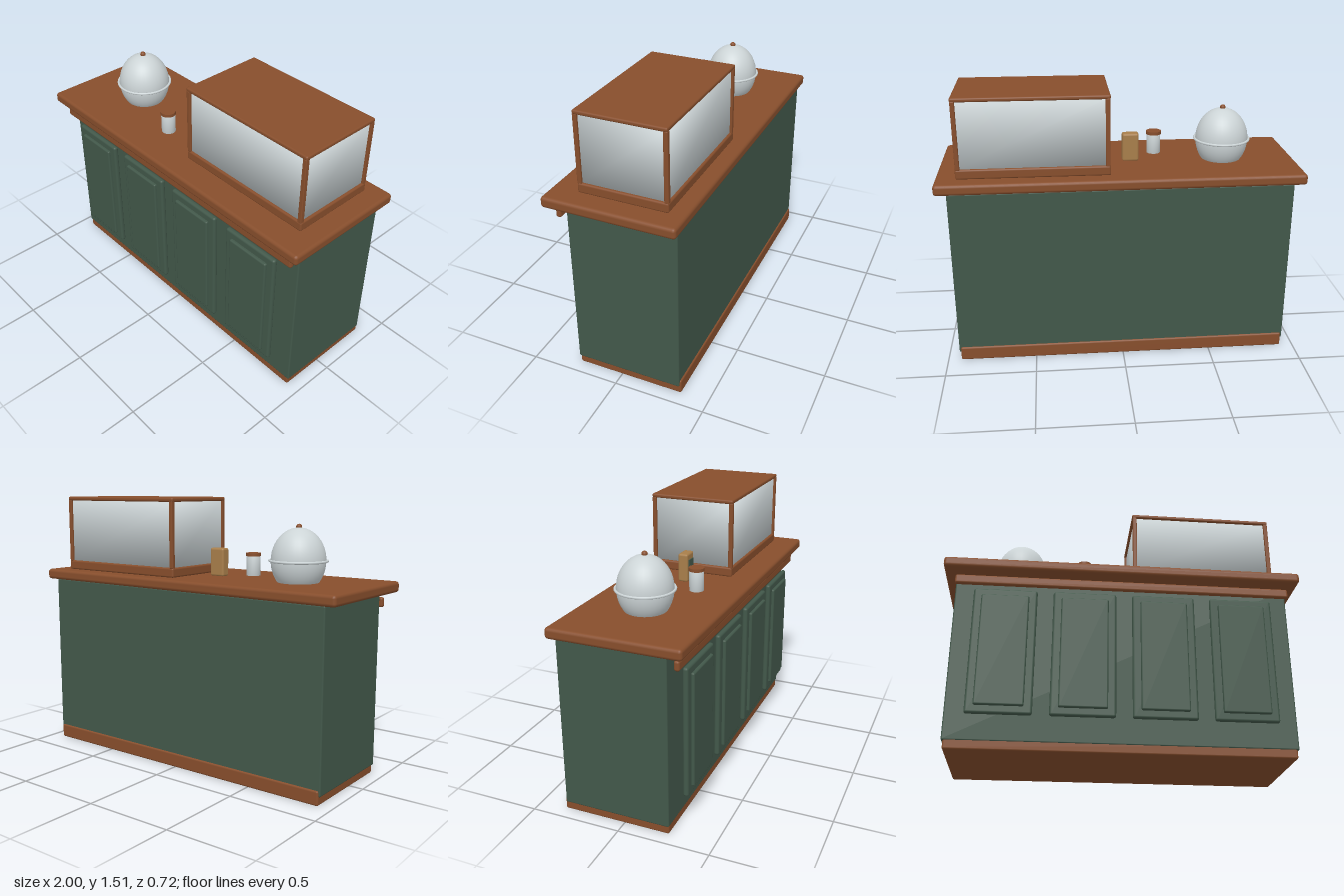
import * as THREE from 'three';
import { RoundedBoxGeometry } from 'three/addons/geometries/RoundedBoxGeometry.js';
import { mergeVertices } from 'three/addons/utils/BufferGeometryUtils.js';

const material = (name, color) => {
  const m = new THREE.MeshStandardMaterial({ color });
  m.name = name;
  return m;
};

// Shared normals across edges give the glass its soft sheen
function softened(geometry) {
  geometry.deleteAttribute('normal');
  geometry.deleteAttribute('uv');
  const merged = mergeVertices(geometry);
  merged.computeVertexNormals();
  return merged;
}

export function createModel() {
  const wood = material('brown wood', 0x874e2c);
  const green = material('green paint', 0x42584a);
  const glass = material('pale glass', 0xccd4d6);
  const tan = material('tan card', 0xa87e4a);

  const model = new THREE.Group();
  model.name = 'shopCounter';

  const add = (parent, name, geometry, mat, x = 0, y = 0, z = 0) => {
    const mesh = new THREE.Mesh(geometry, mat);
    mesh.name = name;
    mesh.position.set(x, y, z);
    parent.add(mesh);
    return mesh;
  };
  const group = (name) => {
    const g = new THREE.Group();
    g.name = name;
    model.add(g);
    return g;
  };
  // Box with bevelled edges, given by its extents on each axis
  const block = (parent, name, mat, [x0, x1], [y0, y1], [z0, z1], bevel) =>
    add(parent, name, new RoundedBoxGeometry(x1 - x0, y1 - y0, z1 - z0, 2, bevel), mat,
      (x0 + x1) / 2, (y0 + y1) / 2, (z0 + z1) / 2);

  // Counter
  const counter = group('counter');
  block(counter, 'plinth', wood, [-0.926, 0.926], [0, 0.08], [-0.348, 0.253], 0.01);
  block(counter, 'body', green, [-0.935, 0.935], [0.047, 1.008], [-0.34, 0.256], 0.008);
  block(counter, 'worktop', wood, [-1, 1], [1.006, 1.066], [-0.36, 0.36], 0.018);
  block(counter, 'frontRail', wood, [-0.935, 0.935], [0.924, 0.978], [0.29, 0.32], 0.012);

  // Front doors, each with a raised inner panel
  const doors = group('doors');
  for (let i = 0; i < 4; i++) {
    const x = -0.653 + i * 0.4353;
    block(doors, 'door', green, [x - 0.174, x + 0.174], [0.175, 0.896], [0.287, 0.317], 0.013);
    block(doors, 'doorPanel', green, [x - 0.13, x + 0.13], [0.217, 0.854], [0.309, 0.333], 0.009);
  }

  // Glass display case
  const showcase = group('displayCase');
  block(showcase, 'caseBase', wood, [0.06, 0.888], [1.066, 1.12], [-0.275, 0.212], 0.01);
  block(showcase, 'caseTop', wood, [0.06, 0.888], [1.483, 1.506], [-0.275, 0.212], 0.009);
  add(showcase, 'caseGlass', softened(new THREE.BoxGeometry(0.8, 0.37, 0.461)), glass, 0.474, 1.302, -0.0315);
  for (const x of [0.063, 0.862])
    for (const z of [-0.275, 0.188])
      block(showcase, 'cornerPost', wood, [x, x + 0.024], [1.115, 1.488], [z, z + 0.024], 0.005);

  // Domed glass cover with a rim band and knob
  const dome = group('domedCover');
  dome.position.set(-0.588, 1.18, -0.013);
  add(dome, 'dome', new THREE.SphereGeometry(0.147, 32, 24), glass).scale.y = 1.19;
  add(dome, 'rimBand', new THREE.TorusGeometry(0.153, 0.007, 8, 40), glass).rotation.x = Math.PI / 2;
  add(dome, 'knob', new THREE.SphereGeometry(0.016, 16, 10), wood, 0, 0.178, 0);

  // Lidded jar
  const jar = group('jar');
  jar.position.set(-0.216, 0, 0.112);
  add(jar, 'jarGlass', softened(new THREE.CylinderGeometry(0.04, 0.04, 0.118, 24)), glass, 0, 1.123, 0);
  add(jar, 'jarLid', new THREE.CylinderGeometry(0.043, 0.043, 0.018, 24), wood, 0, 1.186, 0);

  // Small carton with a front label
  const carton = group('carton');
  block(carton, 'cartonBox', tan, [-0.114, -0.021], [1.064, 1.224], [-0.042, 0.015], 0.012);
  add(carton, 'cartonLabel', new THREE.BoxGeometry(0.055, 0.054, 0.008), green, -0.067, 1.162, 0.0165);

  return model;
}
